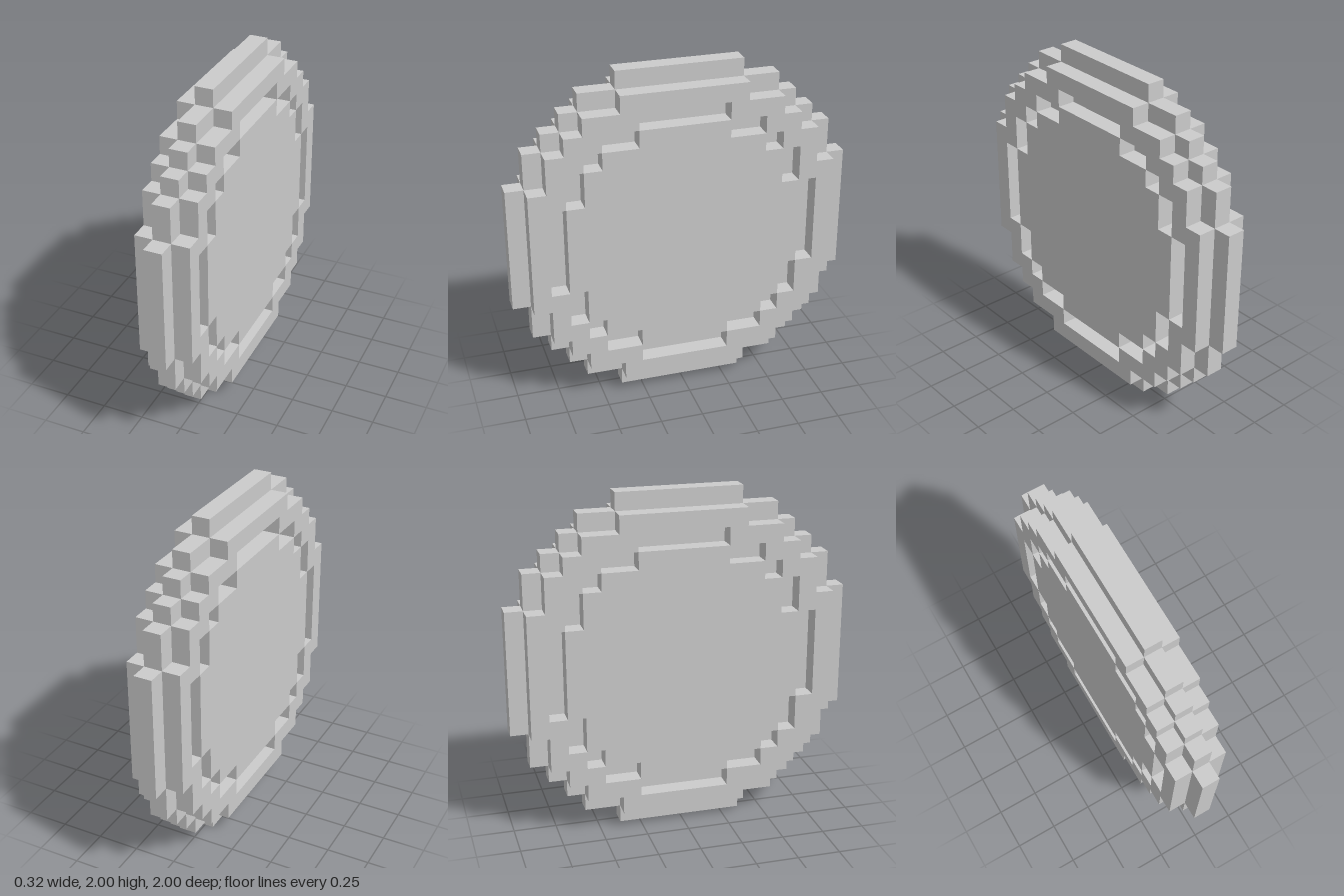
import * as THREE from 'three';

const U = 2 / 19; // size of one block

// Stepped quarter outlines, from the top row to the side column, as [column, row]
const CORE = [[3, 9], [5, 8], [6, 7], [7, 6], [8, 5], [9, 3]];
const RIM = [[3, 8], [5, 7], [6, 6], [7, 5], [8, 3]];
const GROOVE = [[2, 7], [4, 6], [5, 5], [6, 4], [7, 2]];
const FACE = [[2, 6], [4, 5], [5, 4], [6, 2]];

// Closed blocky circle, clockwise: the quarter staircase turned four times
function outline(steps) {
  const quarter = [];
  steps.forEach(([w, h], i) => {
    quarter.push([w + 0.5, h + 0.5]);
    if (i < steps.length - 1) quarter.push([w + 0.5, steps[i + 1][1] + 0.5]);
  });
  const points = [];
  for (let q = 0; q < 4; q++) {
    for (const [x, y] of quarter) {
      const [px, py] = [[x, y], [y, -x], [-x, -y], [-y, x]][q];
      points.push(new THREE.Vector2(px * U, py * U));
    }
  }
  return points;
}

export function createModel() {
  const group = new THREE.Group();
  group.name = 'blockyCoin';
  const material = new THREE.MeshStandardMaterial({ color: 0xcccccc, flatShading: true });

  // One layer, a block thick, centred on the given x
  function layer(name, steps, x, hole) {
    // Outer edge counter-clockwise, hole clockwise, so that all walls face outwards
    const shape = new THREE.Shape(outline(steps).reverse());
    if (hole) shape.holes.push(new THREE.Path(outline(hole)));
    const geometry = new THREE.ExtrudeGeometry(shape, { depth: U, bevelEnabled: false });
    geometry.translate(0, 0, -U / 2).rotateY(Math.PI / 2);
    const mesh = new THREE.Mesh(geometry, material);
    mesh.name = name;
    mesh.position.set(x, 1, 0);
    group.add(mesh);
  }

  // Middle disc, then a rim and a raised face on both sides with a groove between
  layer('core', CORE, 0);
  for (const [side, x] of [['left', U], ['right', -U]]) {
    layer(side + 'Rim', RIM, x, GROOVE);
    layer(side + 'Face', FACE, x);
  }
  return group;
}
